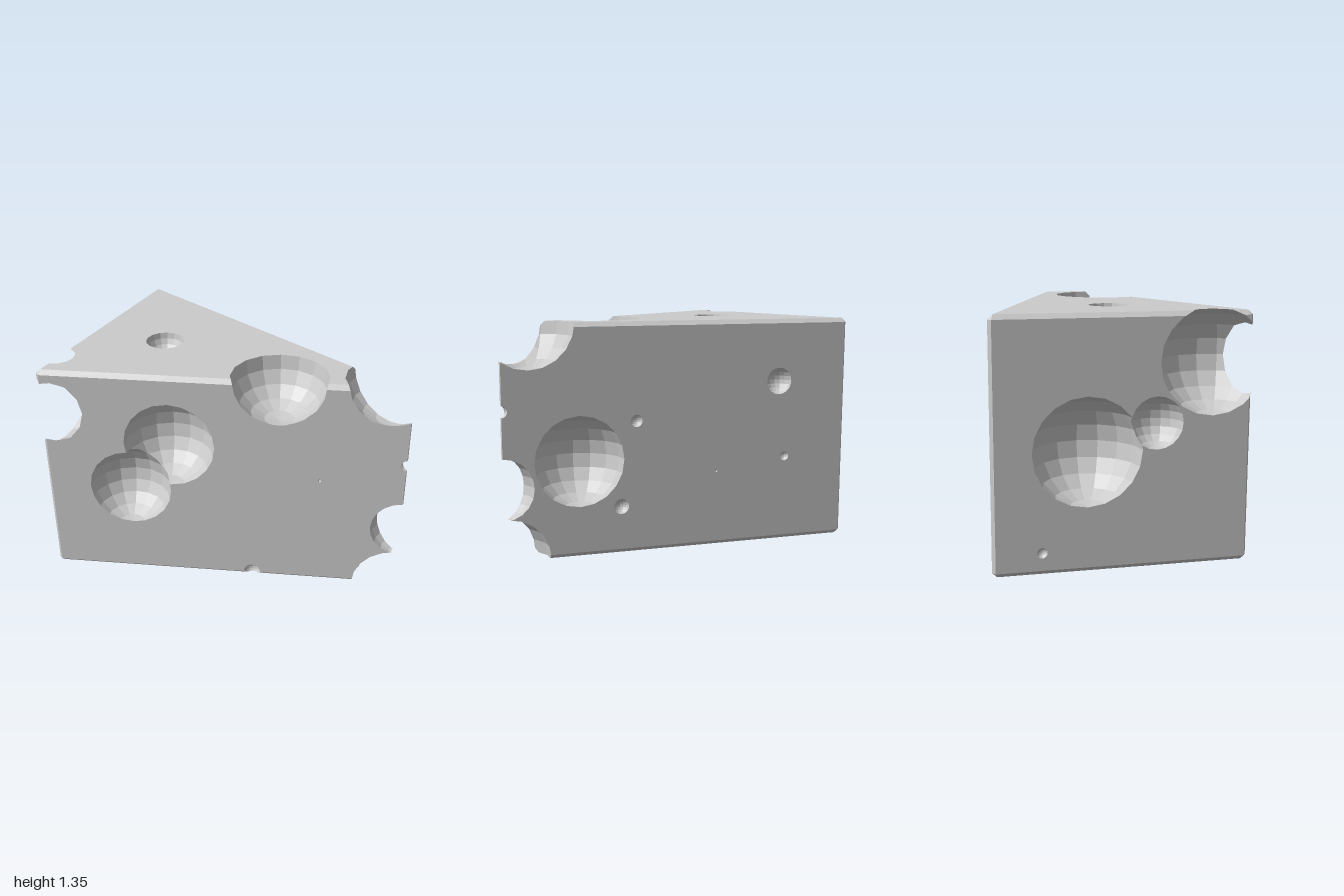
import * as THREE from 'three';
import { ConvexGeometry } from 'three/addons/geometries/ConvexGeometry.js';

const EPS = 1e-6;
const HEIGHT = 1.35, BEVEL = 0.025;

// Half width of the wedge at a given x
const sideZ = (x) => 0.345 * (1 - x) + 0.007;

// Bubbles as [x, y, z, radius]
const BUBBLES = [
  // front face
  [-0.29, 0.91, 0.452, 0.268],
  [-0.515, 0.6, 0.55, 0.247],
  [0.17, 0.03, sideZ(0.17), 0.05],
  [0.54, 0.73, sideZ(0.54), 0.009],
  // top face and its edges
  [0.28, 1.353, 0.17, 0.28],
  [-0.53, HEIGHT, 0.03, 0.113],
  [-1.0, 1.09, 0.475, 0.285],
  // thin tip
  [0.86, 1.36, -0.07, 0.27],
  [1.0, 0.42, 0, 0.18],
  [0.98, 0, -0.005, 0.25],
  [1.0, 0.865, 0, 0.035],
  // back face
  [0.585, 0.56, -0.15, 0.265],
  [-0.575, 0.98, -sideZ(-0.575), 0.08],
  [0.267, 0.78, -sideZ(0.267), 0.036],
  [-0.617, 0.52, -sideZ(-0.617), 0.028],
  [0.354, 0.28, -sideZ(0.354), 0.045],
  [-0.2, 0.455, -sideZ(-0.2), 0.007],
  // broad end
  [-1.0, 0.64, -0.19, 0.29],
  [-1.0, 0.777, 0.177, 0.14],
  [-1.0, 0.12, -0.43, 0.028],
  // underside
  [-0.28, 0, 0.06, 0.15],
  [-0.74, 0, 0.01, 0.05],
];

// Triangles of a convex solid, each with its plane
function facesOf(geometry) {
  const flat = geometry.index ? geometry.toNonIndexed() : geometry;
  const pos = flat.attributes.position;
  const faces = [];
  for (let i = 0; i < pos.count; i += 3) {
    const points = [0, 1, 2].map((k) => new THREE.Vector3().fromBufferAttribute(pos, i + k));
    const plane = new THREE.Plane().setFromCoplanarPoints(...points);
    if (plane.normal.lengthSq() > 0.5) faces.push({ points, plane });
  }
  return faces;
}

// Cut a convex polygon by a plane into its outer and inner part
function split(points, plane) {
  const outer = [], inner = [];
  const dist = points.map((p) => plane.distanceToPoint(p));
  if (dist.every((d) => d >= -EPS)) return [points, []];
  if (dist.every((d) => d <= EPS)) return [[], points];
  points.forEach((p, i) => {
    const j = (i + 1) % points.length;
    if (dist[i] >= -EPS) outer.push(p);
    if (dist[i] <= EPS) inner.push(p);
    if (Math.abs(dist[i]) > EPS && Math.abs(dist[j]) > EPS && dist[i] * dist[j] < 0) {
      const cut = p.clone().lerp(points[j], dist[i] / (dist[i] - dist[j]));
      outer.push(cut);
      inner.push(cut);
    }
  });
  return [outer, inner];
}

// Parts of a polygon outside a convex solid
function partsOutside(points, solid) {
  const kept = [];
  let rest = points;
  for (const { plane } of solid) {
    const [outer, inner] = split(rest, plane);
    if (inner.length < 3) return [points];
    if (outer.length >= 3) kept.push(outer);
    rest = inner;
    if (kept.length && rest.length < 3) break;
  }
  return kept;
}

// Part of a polygon inside a convex solid
function partInside(points, solid) {
  for (const { plane } of solid) {
    points = split(points, plane)[1];
    if (points.length < 3) return [];
  }
  return [points];
}

const subtractAll = (pieces, solids) =>
  solids.reduce((list, solid) => list.flatMap((p) => partsOutside(p, solid)), pieces);

// Flat-shaded mesh from convex polygons
function buildMesh(name, polygons, material) {
  const positions = [], normals = [];
  for (const { points, normal } of polygons) {
    for (let i = 1; i < points.length - 1; i++) {
      for (const p of [points[0], points[i], points[i + 1]]) {
        positions.push(p.x, p.y, p.z);
        normals.push(normal.x, normal.y, normal.z);
      }
    }
  }
  const geometry = new THREE.BufferGeometry();
  geometry.setAttribute('position', new THREE.Float32BufferAttribute(positions, 3));
  geometry.setAttribute('normal', new THREE.Float32BufferAttribute(normals, 3));
  const mesh = new THREE.Mesh(geometry, material);
  mesh.name = name;
  return mesh;
}

// Wedge with narrow bevels on all edges
function wedgeGeometry() {
  const points = [];
  for (const s of [-1, 1]) {
    for (const y of [BEVEL, HEIGHT - BEVEL]) {
      points.push(new THREE.Vector3(-1, y, s * 0.672));
      points.push(new THREE.Vector3(-1 + BEVEL, y, s * sideZ(-1 + BEVEL)));
      points.push(new THREE.Vector3(1, y, s * sideZ(1)));
    }
    for (const y of [0, HEIGHT]) {
      points.push(new THREE.Vector3(-1 + BEVEL, y, s * (sideZ(-1 + BEVEL) - 0.027)));
      points.push(new THREE.Vector3(0.94, y, s * 0.001));
    }
  }
  return new ConvexGeometry(points);
}

export function createModel() {
  const group = new THREE.Group();
  group.name = 'cheeseWedge';
  const material = new THREE.MeshStandardMaterial({ color: 0xcccccc, flatShading: true });

  const wedge = facesOf(wedgeGeometry());
  const bubbles = BUBBLES.map(([x, y, z, r]) =>
    facesOf(new THREE.SphereGeometry(r, 16, 10).translate(x, y, z)));

  // Outer faces with the bubble openings cut away
  const body = wedge.flatMap(({ points, plane }) =>
    subtractAll([points], bubbles).map((p) => ({ points: p, normal: plane.normal })));
  group.add(buildMesh('wedgeBody', body, material));

  // Bubble walls, turned to face inwards
  const holes = new THREE.Group();
  holes.name = 'holes';
  bubbles.forEach((bubble, i) => {
    const others = bubbles.filter((b) => b !== bubble);
    const walls = bubble.flatMap(({ points, plane }) =>
      subtractAll(partInside(points, wedge), others).map((p) => ({
        points: [...p].reverse(),
        normal: plane.normal.clone().negate(),
      })));
    holes.add(buildMesh(`hole${i + 1}`, walls, material));
  });
  group.add(holes);
  return group;
}
